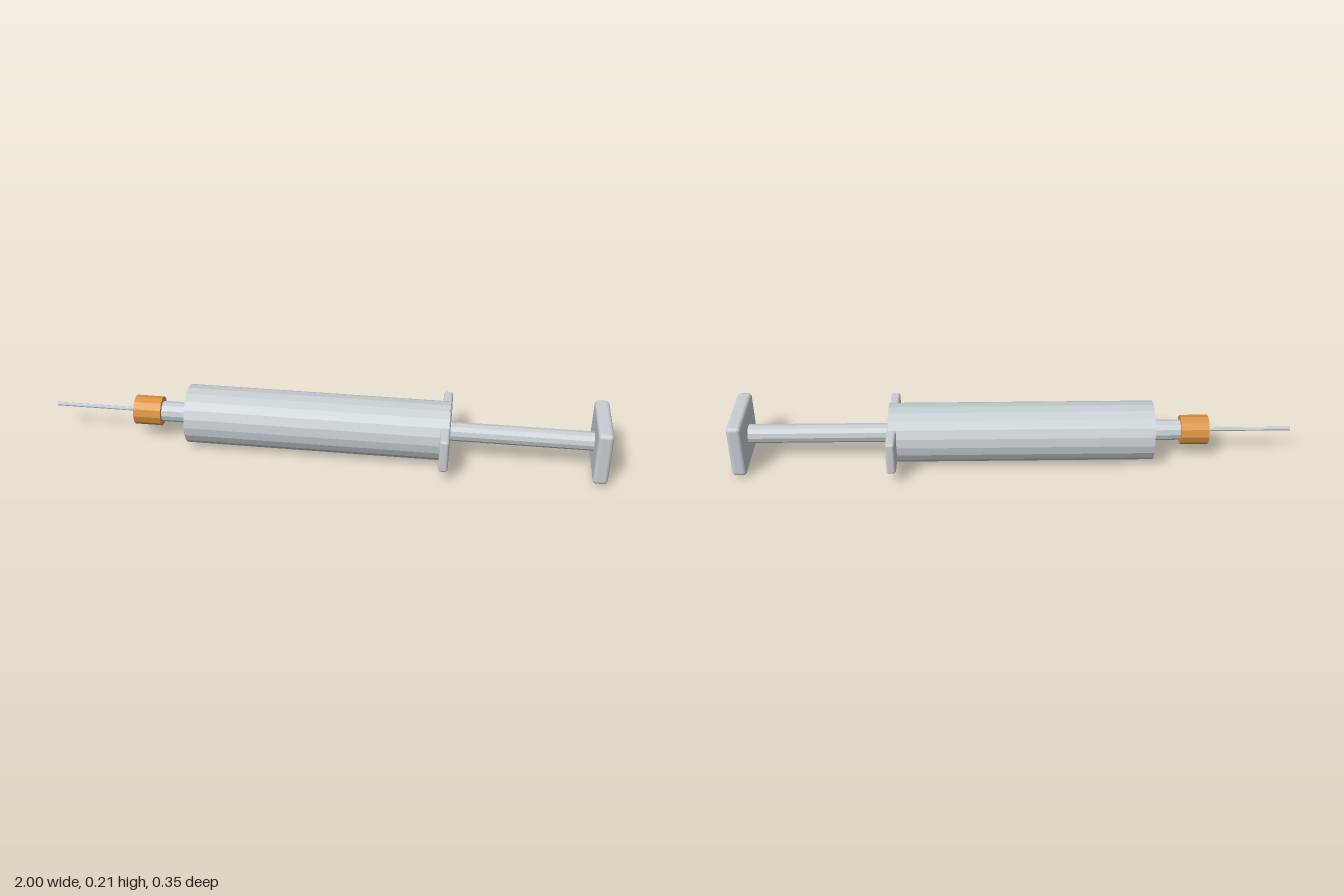
import * as THREE from 'three';
import { RoundedBoxGeometry } from 'three/addons/geometries/RoundedBoxGeometry.js';

const AXIS_Y = 0.109;

export function createModel() {
  const model = new THREE.Group();
  const gray = new THREE.MeshStandardMaterial({ color: 0xc6cdd1 });
  gray.name = 'paleGray';
  const amber = new THREE.MeshStandardMaterial({ color: 0xdb9440 });
  amber.name = 'amber';

  function add(name, geometry, material, x) {
    const mesh = new THREE.Mesh(geometry, material);
    mesh.name = name;
    mesh.position.set(x, AXIS_Y, 0);
    model.add(mesh);
  }

  // Faceted cylinder lying along x from x0 to x1
  function rod(name, x0, x1, radius, sides, material) {
    const geometry = new THREE.CylinderGeometry(radius, radius, x1 - x0, sides).rotateZ(-Math.PI / 2);
    const faceted = geometry.toNonIndexed();
    faceted.computeVertexNormals();
    add(name, faceted, material, (x0 + x1) / 2);
  }

  // Plate with rounded edges across the axis
  function plate(name, x0, x1, height, depth, radius) {
    add(name, new RoundedBoxGeometry(x1 - x0, height, depth, 3, radius), gray, (x0 + x1) / 2);
  }

  rod('needle', -1, -0.69, 0.007, 8, gray);
  rod('needleHub', -0.7, -0.6, 0.053, 12, amber);
  rod('nozzle', -0.61, -0.49, 0.037, 12, gray);
  rod('barrel', -0.5, 0.443, 0.106, 20, gray);
  plate('fingerFlange', 0.414, 0.447, 0.125, 0.352, 0.01);
  rod('plungerRod', 0.43, 0.96, 0.034, 12, gray);
  plate('thumbPlate', 0.948, 1, 0.2, 0.25, 0.014);

  return model;
}
